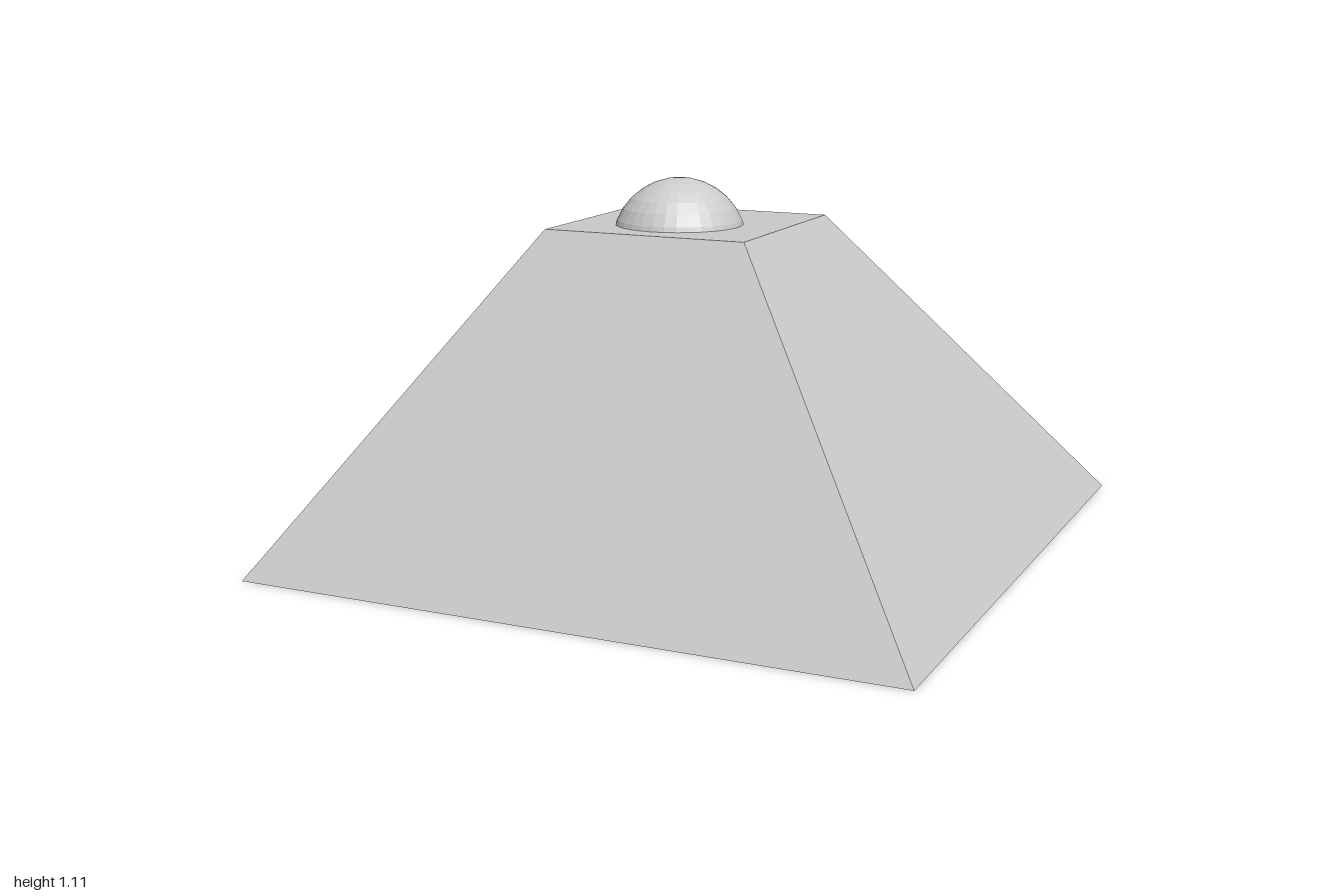
import * as THREE from 'three';

export function createModel() {
  const model = new THREE.Group();
  const material = new THREE.MeshStandardMaterial({ color: 0xcccccc, flatShading: true });

  // Truncated pyramid: a box whose top face is shrunk and shifted off centre
  const height = 0.972, topSize = 0.621, topX = -0.013, topZ = 0.107;
  const bodyGeometry = new THREE.BoxGeometry(2, height, 2).translate(0, height / 2, 0);
  const p = bodyGeometry.attributes.position;
  for (let i = 0; i < p.count; i++) {
    if (p.getY(i) < height / 2) continue;
    p.setX(i, p.getX(i) * topSize / 2 + topX);
    p.setZ(i, p.getZ(i) * topSize / 2 + topZ);
  }
  bodyGeometry.computeVertexNormals();
  const body = new THREE.Mesh(bodyGeometry, material);
  body.name = 'pyramidBase';

  // Faceted ball partly sunk into the flat top
  const ball = new THREE.Mesh(new THREE.SphereGeometry(0.198, 32, 16), material);
  ball.name = 'ball';
  ball.position.set(-0.02, 0.91, 0.155);

  model.add(body, ball);
  return model;
}
